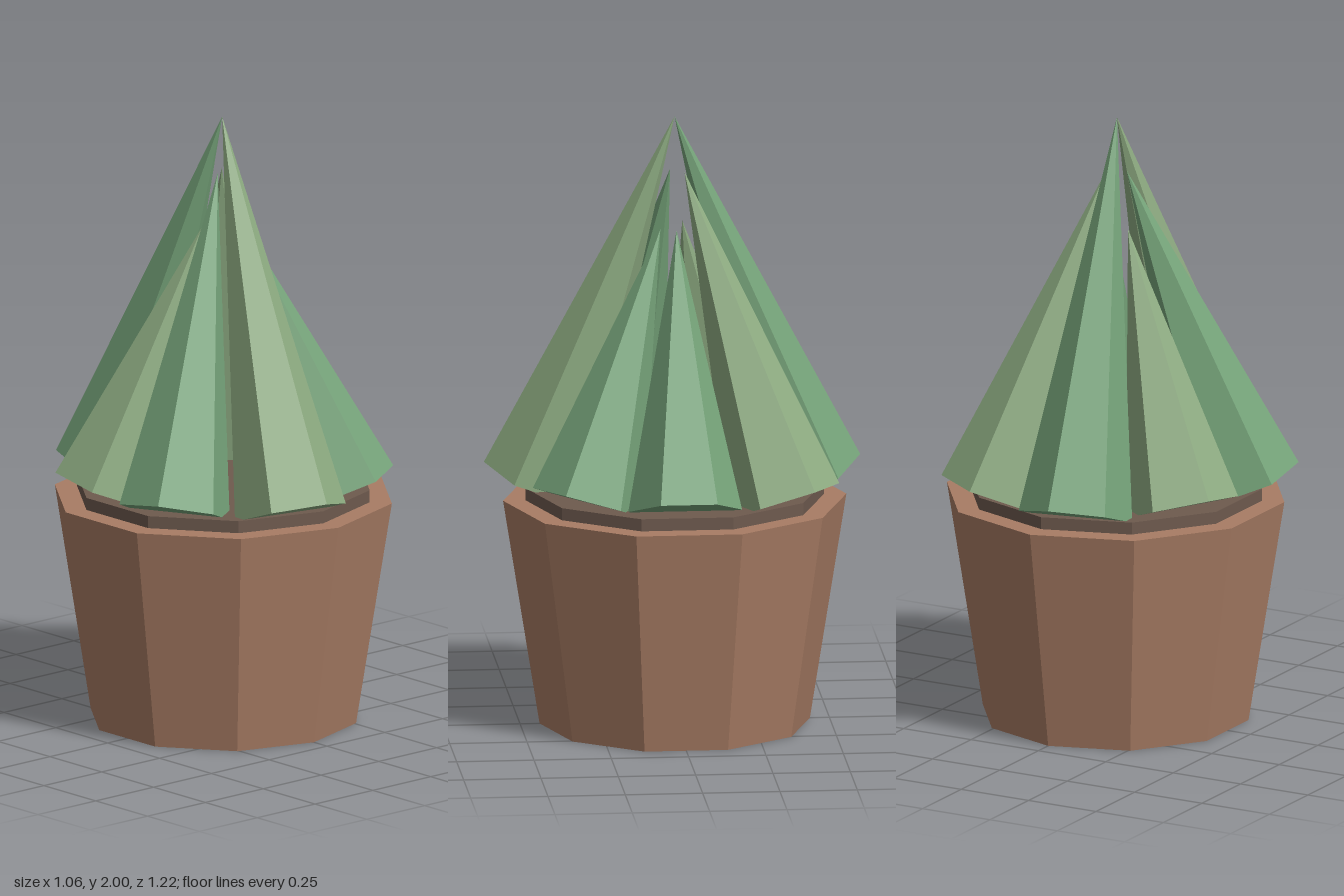
import * as THREE from 'three';

const material = (color) => new THREE.MeshStandardMaterial({ color, flatShading: true });

export function createModel() {
  const model = new THREE.Group();
  model.name = 'pottedPlant';

  const add = (name, geometry, mat) => {
    const mesh = new THREE.Mesh(geometry, mat);
    mesh.name = name;
    model.add(mesh);
    return mesh;
  };

  // Ten-sided tapered pot and the soil slab standing slightly proud of its top
  add('pot', new THREE.CylinderGeometry(0.555, 0.437, 0.74, 10), material(0xa87c64)).position.y = 0.37;
  add('soil', new THREE.CylinderGeometry(0.482, 0.482, 0.08, 10), material(0x6e5a4e)).position.y = 0.74;

  // Hexagonal spiky leaves leaning inwards: [base x, base z, tip x, tip y, tip z, colour]
  const green = material(0x76a47a);
  const olive = material(0x8eac82);
  const baseY = 0.785;
  const up = new THREE.Vector3(0, 1, 0);
  const leaves = [
    [-0.10, -0.435, -0.005, 2.00, 0, green],
    [0.255, -0.333, 0.02, 1.82, -0.03, olive],
    [0.375, 0, 0.065, 1.64, 0, green],
    [0.235, 0.303, 0.043, 1.64, 0.05, green],
    [-0.10, 0.435, -0.005, 2.00, 0, olive],
    [-0.375, 0.183, -0.035, 1.82, 0.012, green],
    [-0.345, -0.172, -0.063, 1.64, -0.03, olive],
  ];
  leaves.forEach(([bx, bz, tx, ty, tz, mat], i) => {
    const base = new THREE.Vector3(bx, baseY, bz);
    const axis = new THREE.Vector3(tx, ty, tz).sub(base);
    const length = axis.length();
    const geometry = new THREE.ConeGeometry(0.184, length, 6).translate(0, length / 2, 0);
    const leaf = add(`leaf${i + 1}`, geometry, mat);
    leaf.position.copy(base);
    leaf.quaternion.setFromUnitVectors(up, axis.normalize());
  });

  return model;
}
